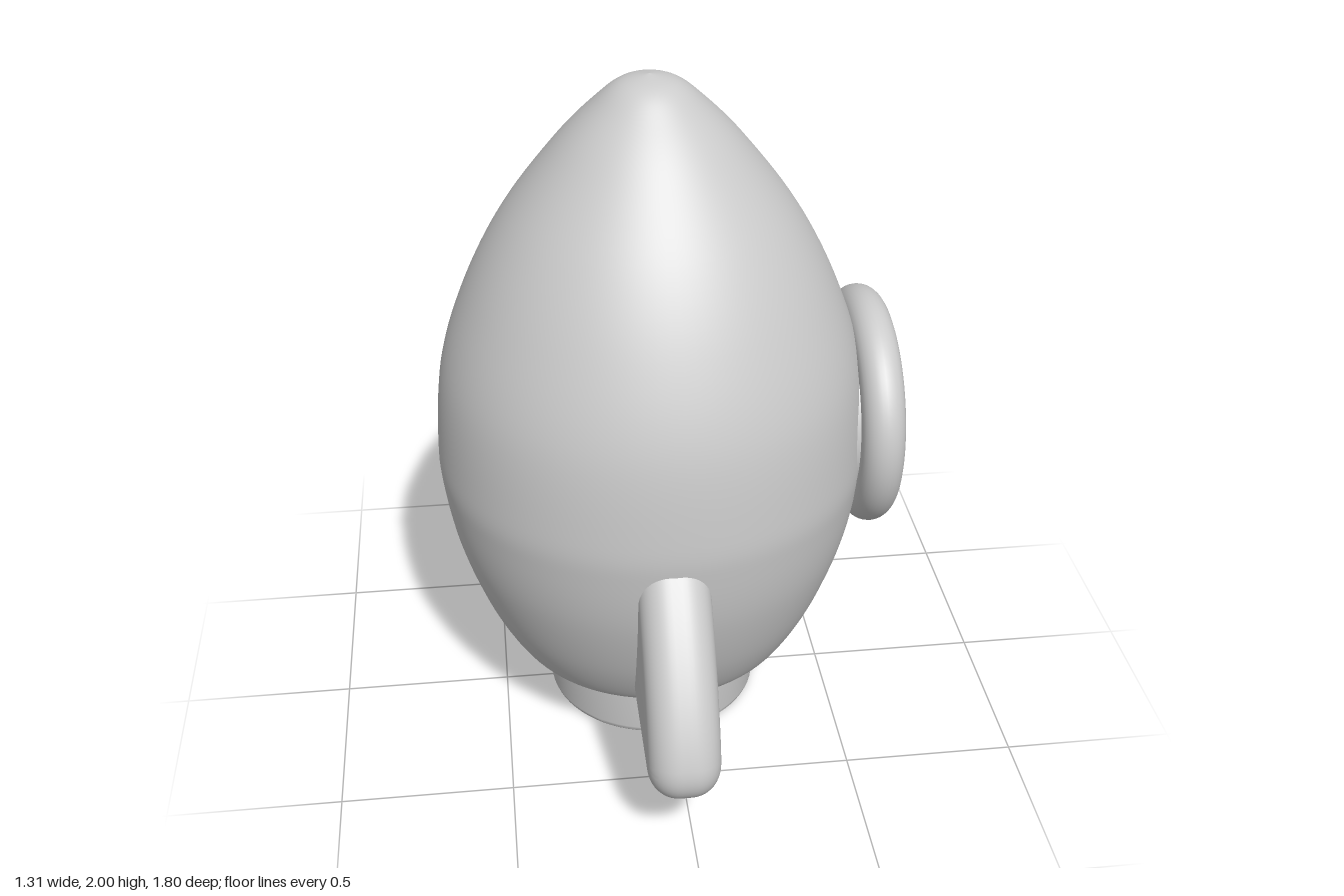
import * as THREE from 'three';
import { mergeVertices, toCreasedNormals } from 'three/addons/utils/BufferGeometryUtils.js';

const AXIS_X = -0.035; // the hull axis sits slightly off centre because of the porthole

export function createModel() {
  const group = new THREE.Group();
  const material = new THREE.MeshStandardMaterial({ color: 0xcccccc });
  const add = (name, geometry, x = 0, y = 0, z = 0) => {
    const mesh = new THREE.Mesh(geometry, material);
    mesh.name = name;
    mesh.position.set(x, y, z);
    group.add(mesh);
    return mesh;
  };
  const v2 = ([x, y]) => new THREE.Vector2(x, y);

  // Egg-shaped hull, turned from a smooth profile
  const hullCurve = new THREE.SplineCurve([
    [0.34, 0.208], [0.39, 0.215], [0.44, 0.255], [0.515, 0.4], [0.582, 0.6], [0.615, 0.78],
    [0.622, 0.92], [0.597, 1.17], [0.52, 1.4], [0.41, 1.61], [0.26, 1.81], [0.15, 1.925],
    [0.08, 1.98], [0, 2],
  ].map(v2));
  const hullProfile = [new THREE.Vector2(0, 0.208), ...hullCurve.getPoints(90)];
  hullProfile[hullProfile.length - 1].set(0, 2);
  add('hull', new THREE.LatheGeometry(hullProfile, 96), AXIS_X);

  // Engine nozzle with a softly rounded lower rim
  const nozzleProfile = [[0, 0], [0.295, 0]];
  for (let i = 1; i <= 6; i++) {
    const a = (i / 6) * Math.PI / 2;
    nozzleProfile.push([0.295 + 0.025 * Math.sin(a), 0.025 - 0.025 * Math.cos(a)]);
  }
  nozzleProfile.push([0.32, 0.23]);
  const nozzle = new THREE.LatheGeometry(nozzleProfile.map(v2), 72).toNonIndexed();
  add('nozzle', toCreasedNormals(nozzle, 0.6), AXIS_X);

  // Porthole on the left side: ring and flat pane
  const ring = new THREE.TorusGeometry(0.29, 0.062, 28, 80);
  ring.rotateY(Math.PI / 2);
  add('portholeRing', ring, 0.593, 0.954, 0);
  const pane = new THREE.CylinderGeometry(0.27, 0.27, 0.08, 64);
  pane.rotateZ(-Math.PI / 2);
  add('portholePane', pane, 0.56, 0.954, 0);

  // Fin: slim swept core, inflated by a round bevel (shape x = outward, y = up)
  const bevel = 0.085;
  const core = new THREE.Shape();
  core.moveTo(0.25, 0.327);
  core.lineTo(0.79, 0.32);
  core.quadraticCurveTo(0.825, 0.32, 0.815, 0.36);
  core.bezierCurveTo(0.785, 0.47, 0.68, 0.64, 0.5, 0.82);
  core.lineTo(0.25, 0.82);
  core.closePath();
  const finDepth = 0.03;
  let fin = new THREE.ExtrudeGeometry(core, {
    depth: finDepth, bevelEnabled: true, bevelSize: bevel, bevelThickness: bevel,
    bevelSegments: 10, curveSegments: 16,
  });
  fin.translate(0, 0, -finDepth / 2);
  fin.deleteAttribute('uv');
  fin.deleteAttribute('normal');
  fin = toCreasedNormals(mergeVertices(fin, 1e-4), 0.8);
  for (const [name, turn] of [['frontFin', -1], ['backFin', 1]]) {
    add(name, fin, AXIS_X).rotation.y = turn * Math.PI / 2;
  }

  return group;
}
